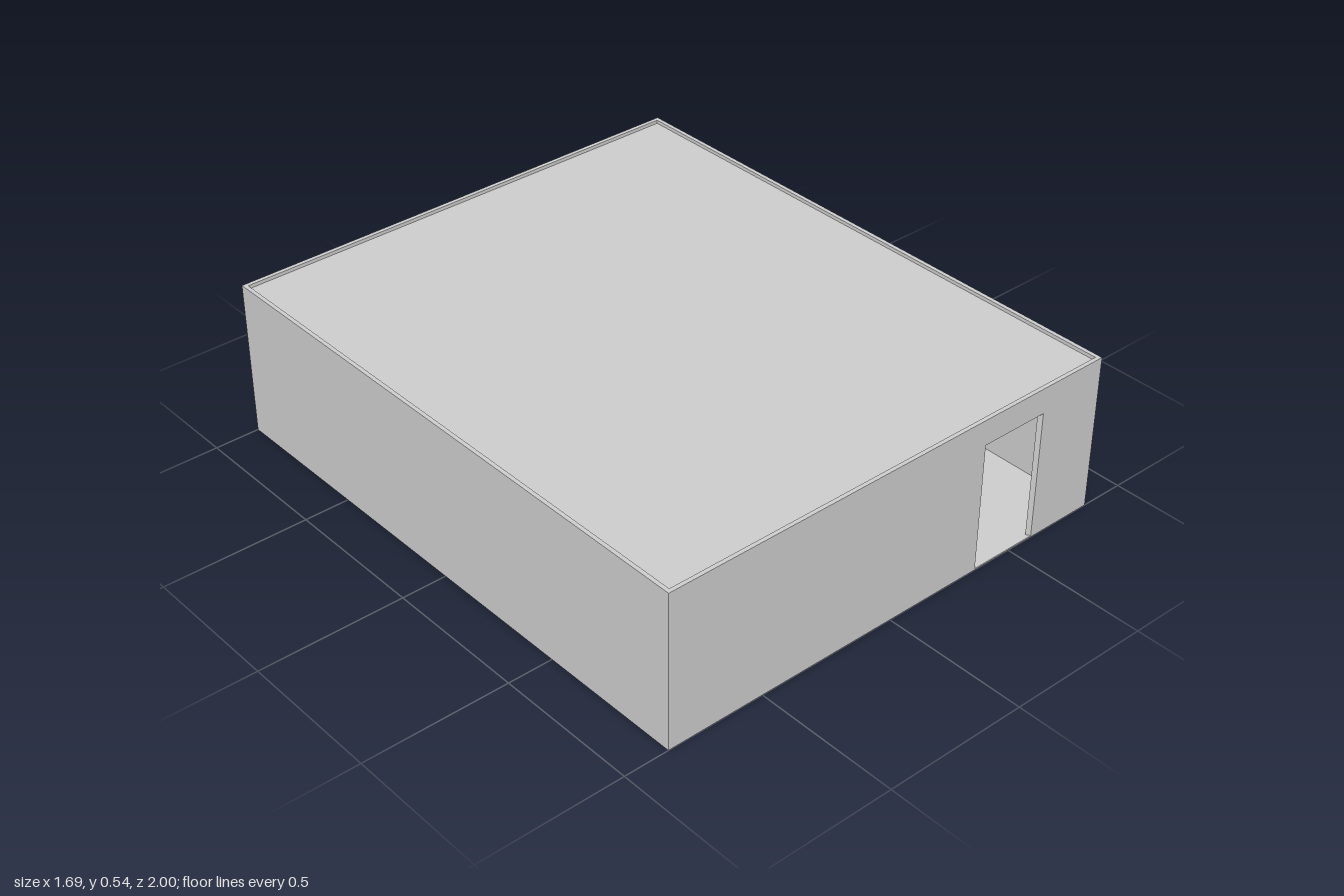
import * as THREE from 'three';

const W = 0.845, D = 1, H = 0.54; // half width, half depth, height
const T = 0.014;                  // wall thickness
const FLOOR = 0.005;              // floor slab thickness
const INNER = 0.985;              // inner face of a wall is slightly smaller

const mat = new THREE.MeshStandardMaterial({ color: 0xcccccc, flatShading: true });

function mesh(name, geometry) {
  const m = new THREE.Mesh(geometry, mat);
  m.name = name;
  return m;
}

// Wall facing +z with its outer face at z = 0; door and windows are [x0, x1] spans
function wallGeometry(half, door, windows = []) {
  const pts = [[-half, FLOOR]];
  if (door) pts.push([door[0], FLOOR], [door[0], 0.45], [door[1], 0.45], [door[1], FLOOR]);
  pts.push([half, FLOOR], [half, H], [-half, H]);
  const shape = new THREE.Shape(pts.map(p => new THREE.Vector2(...p)));
  for (const [a, b] of windows) {
    shape.holes.push(new THREE.Path(
      [[a, 0.18], [a, 0.45], [b, 0.45], [b, 0.18]].map(p => new THREE.Vector2(...p))));
  }
  const geo = new THREE.ExtrudeGeometry(shape, { depth: T, bevelEnabled: false });
  geo.translate(0, 0, -T);

  // Shrink the inner face: mitred corners and slightly tapered openings
  const pos = geo.attributes.position;
  for (let i = 0; i < pos.count; i++) {
    if (pos.getZ(i) > -T / 2) continue;
    const x = pos.getX(i), y = pos.getY(i);
    pos.setX(i, Math.abs(x) > half - 1e-4 ? Math.sign(x) * (half - T) : x * INNER);
    if (y > FLOOR + 1e-4 && y < H - 1e-4) pos.setY(i, H / 2 + (y - H / 2) * INNER);
  }
  geo.computeVertexNormals();
  return geo;
}

export function createModel() {
  const group = new THREE.Group();
  group.name = 'house';

  // Four walls: the doors sit at opposite corners, the windows on the left side
  const walls = [
    ['frontWall', W, D, 0, [0.355, 0.6], []],
    ['leftWall', D, W, Math.PI / 2, null, [[-0.71, -0.425], [0.425, 0.71]]],
    ['backWall', W, D, Math.PI, [0.355, 0.6], []],
    ['rightWall', D, W, -Math.PI / 2, null, []],
  ];
  for (const [name, half, dist, angle, door, windows] of walls) {
    const wall = mesh(name, wallGeometry(half, door, windows));
    wall.rotation.y = angle;
    wall.position.set(Math.sin(angle) * dist, 0, Math.cos(angle) * dist);
    group.add(wall);
  }

  // Floor slab under the walls
  const floor = mesh('floor', new THREE.BoxGeometry(2 * W, FLOOR, 2 * D));
  floor.position.y = FLOOR / 2;
  group.add(floor);

  // Flat roof, set just below the rim of the walls
  const roof = mesh('roof', new THREE.BoxGeometry(2 * (W - T), 0.005, 2 * (D - T)));
  roof.position.y = H - 0.0145;
  group.add(roof);

  return group;
}
